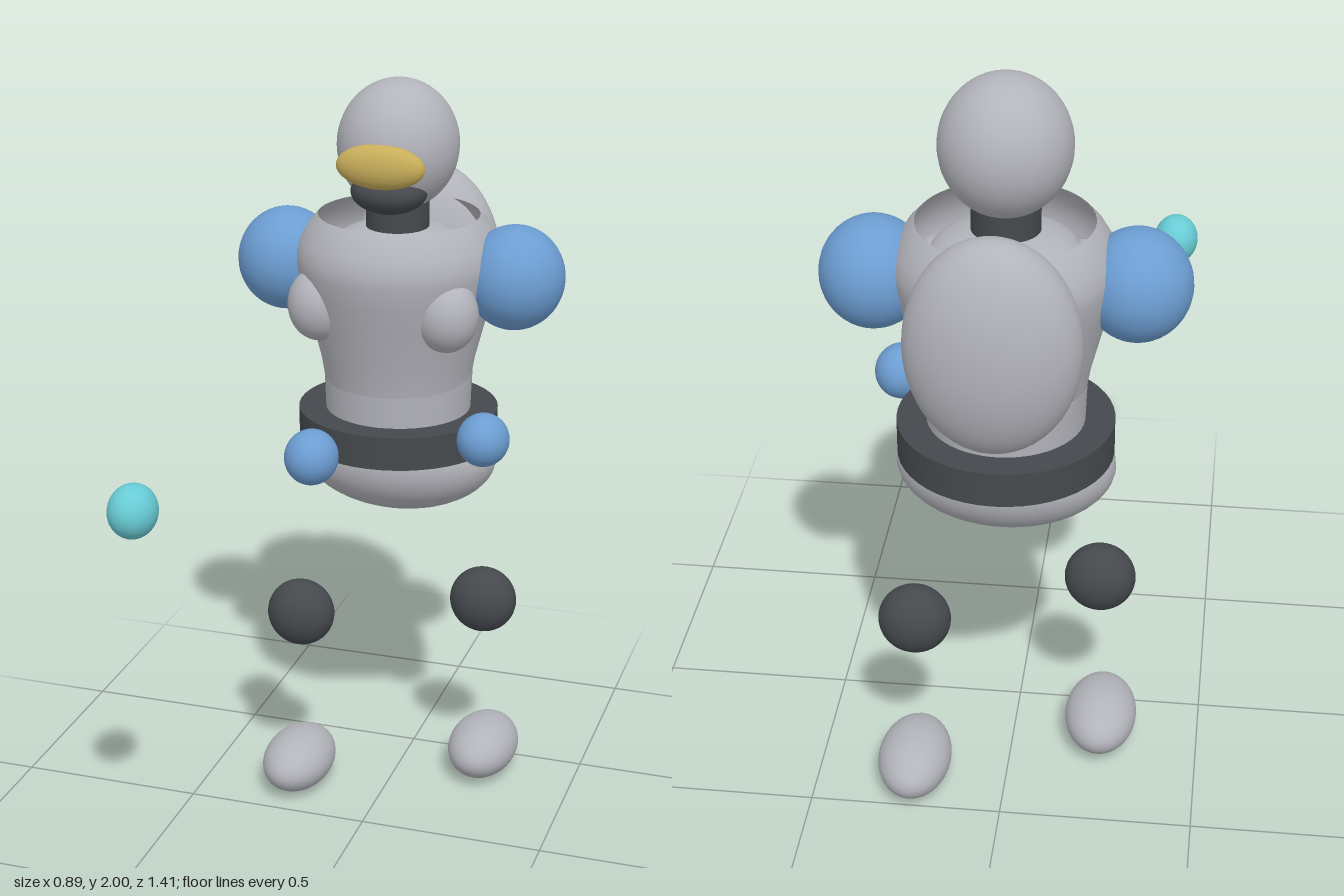
import * as THREE from 'three';

const mat = (name, color, side = THREE.FrontSide) => {
  const m = new THREE.MeshStandardMaterial({ color, side });
  m.name = name;
  return m;
};

export function createModel() {
  const grey = mat('lightGrey', 0xb3b4bb, THREE.DoubleSide);
  const dark = mat('charcoal', 0x45494d);
  const blue = mat('blue', 0x6c9dd2);
  const gold = mat('gold', 0xc8ae5a);
  const cyan = mat('cyan', 0x68cbd5);

  const model = new THREE.Group();
  model.name = 'armouredFigure';
  const axisZ = -0.32; // depth of the body axis

  const add = (name, geometry, material, x, y, z) => {
    const mesh = new THREE.Mesh(geometry, material);
    mesh.name = name;
    mesh.position.set(x, y, z);
    model.add(mesh);
    return mesh;
  };
  const ball = new THREE.SphereGeometry(1, 40, 28);
  const ellipsoid = (name, material, [x, y, z], radii) =>
    add(name, ball, material, x, y, z).scale.set(...radii);

  // Head with visor, jaw guard and neck
  ellipsoid('head', grey, [0, 1.83, -0.304], [0.158, 0.17, 0.164]);
  ellipsoid('visor', gold, [0, 1.805, -0.148], [0.117, 0.058, 0.04]);
  ellipsoid('jaw', dark, [0, 1.725, -0.225], [0.1, 0.058, 0.09]);
  add('neck', new THREE.CylinderGeometry(0.083, 0.083, 0.14, 32), dark, 0, 1.67, -0.302);

  // Open-topped chest shell, tapering to the waist
  const profile = [
    [0.195, 1.2], [0.205, 1.26], [0.233, 1.37], [0.255, 1.45], [0.268, 1.51],
    [0.268, 1.545], [0.258, 1.58], [0.235, 1.62], [0.212, 1.645],
  ].map(([r, y]) => new THREE.Vector2(r, y));
  add('chestShell', new THREE.LatheGeometry(profile, 48), grey, 0, 0, -0.315);
  ellipsoid('collarBase', grey, [0, 1.545, -0.31], [0.185, 0.08, 0.185]);
  add('abdomen', new THREE.CylinderGeometry(0.198, 0.192, 0.16, 48), grey, 0, 1.14, -0.318);

  // Belt, pelvis and back pack
  add('belt', new THREE.CylinderGeometry(0.267, 0.267, 0.09, 48), dark, 0, 1.071, axisZ);
  ellipsoid('pelvis', grey, [0, 0.985, axisZ], [0.272, 0.157, 0.18]);
  ellipsoid('backPack', grey, [0, 1.452, -0.575], [0.208, 0.274, 0.13]);

  // Limbs: mirrored in x, with the right leg stepping forward
  for (const [side, s, legZ] of [['left', 1, -0.393], ['right', -1, -0.16]]) {
    ellipsoid(side + 'ChestPlate', grey, [s * 0.172, 1.425, -0.17], [0.083, 0.097, 0.082]);
    ellipsoid(side + 'Shoulder', blue, [s * 0.312, 1.497, -0.322], [0.131, 0.137, 0.137]);
    ellipsoid(side + 'Knee', dark, [s * 0.228, 0.537, legZ], [0.093, 0.093, 0.078]);
    ellipsoid(side + 'Foot', grey, [s * 0.238, 0.083, legZ], [0.096, 0.08, 0.147]);
  }

  // Hands and the glowing tip held out in front
  ellipsoid('leftHand', blue, [0.286, 1.113, -0.13], [0.068, 0.07, 0.074]);
  ellipsoid('rightHand', blue, [-0.078, 1.135, 0.175], [0.068, 0.071, 0.074]);
  ellipsoid('glowTip', cyan, [-0.365, 1.134, 0.635], [0.06, 0.067, 0.07]);

  return model;
}
